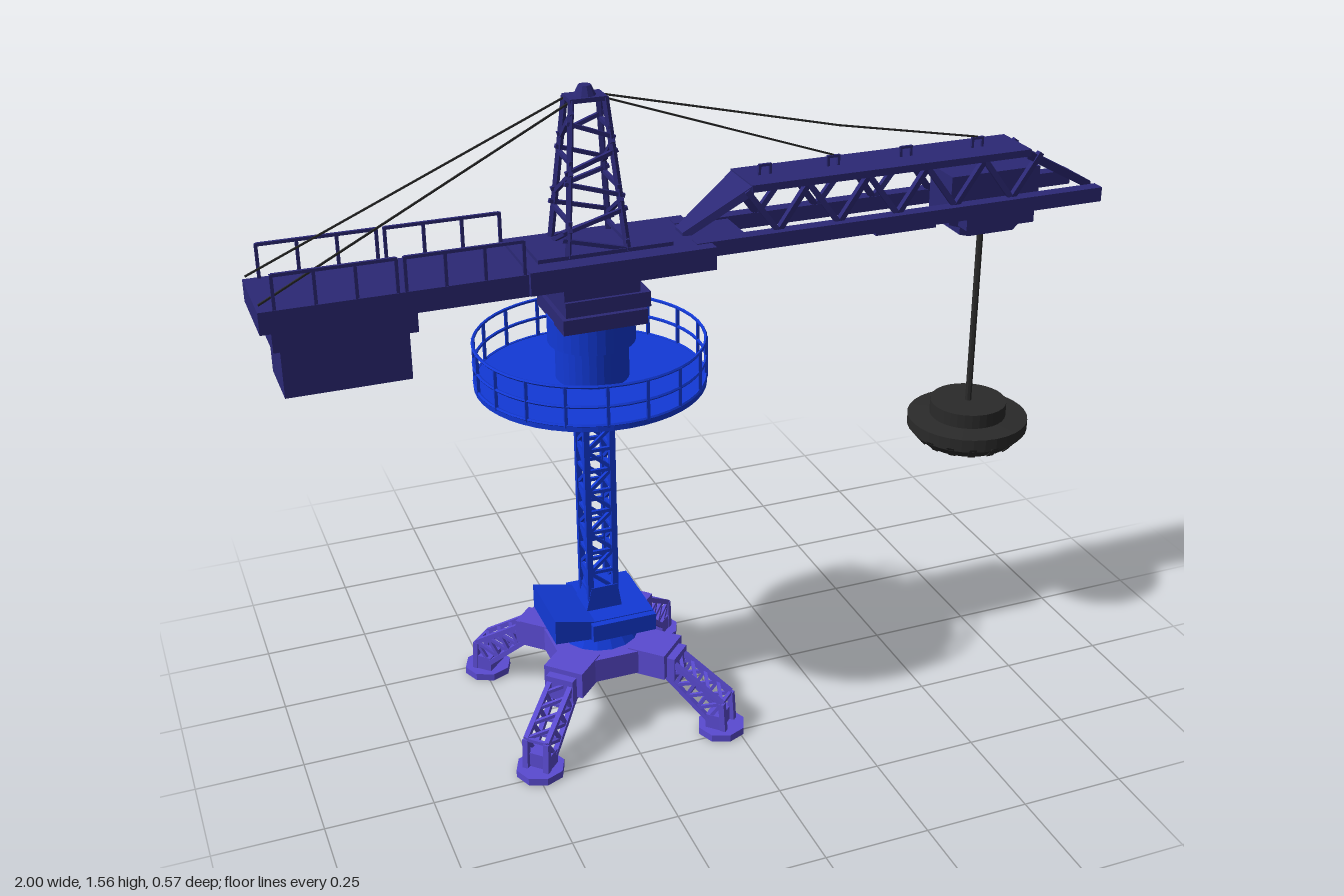
import * as THREE from 'three';

const mat = (color) => new THREE.MeshStandardMaterial({ color, flatShading: true });
const BLUE = mat(0x1239d6), PURPLE = mat(0x5a4bd1), NAVY = mat(0x2b2875), BLACK = mat(0x2a2a2a);
const V = (x, y, z) => new THREE.Vector3(x, y, z);
const MX = -0.262; // mast axis

function add(parent, name, geo, m) {
  const mesh = new THREE.Mesh(geo, m);
  mesh.name = name;
  parent.add(mesh);
  return mesh;
}
// box from its limits
function box(p, name, m, x0, x1, y0, y1, z0, z1) {
  const g = new THREE.BoxGeometry(x1 - x0, y1 - y0, z1 - z0);
  return add(p, name, g.translate((x0 + x1) / 2, (y0 + y1) / 2, (z0 + z1) / 2), m);
}
// square bar between two points
function bar(p, name, m, a, b, t, t2 = t) {
  const mesh = add(p, name, new THREE.BoxGeometry(t, t2, a.distanceTo(b)), m);
  mesh.position.copy(a).add(b).multiplyScalar(0.5);
  mesh.quaternion.setFromRotationMatrix(new THREE.Matrix4().lookAt(b, a, V(0, 1, 0.001)));
  return mesh;
}
function disc(p, name, m, x, y0, y1, r0, r1, n = 32) {
  return add(p, name, new THREE.CylinderGeometry(r1, r0, y1 - y0, n).translate(x, (y0 + y1) / 2, 0), m);
}
// side outline in x and y, extruded across z
function prism(p, name, m, pts, half) {
  const s = new THREE.Shape(pts.map(([x, y]) => new THREE.Vector2(x, y)));
  return add(p, name, new THREE.ExtrudeGeometry(s, { depth: 2 * half, bevelEnabled: false }).translate(0, 0, -half), m);
}
// sloping plate whose height and width change along x; ends are [x, bottom, top, halfWidth]
function slope(p, name, m, a, b) {
  const g = new THREE.BoxGeometry(1, 1, 1), pos = g.attributes.position;
  for (let i = 0; i < pos.count; i++) {
    const e = pos.getX(i) < 0 ? a : b;
    pos.setXYZ(i, e[0], pos.getY(i) < 0 ? e[1] : e[2], 2 * pos.getZ(i) * e[3]);
  }
  g.computeVertexNormals();
  return add(p, name, g, m);
}
function ring(p, name, m, x, y, r, t) {
  return add(p, name, new THREE.TorusGeometry(r, t, 5, 48).rotateX(Math.PI / 2).translate(x, y, 0), m);
}

function buildBase(root) {
  const base = new THREE.Group();
  base.name = 'base';
  base.position.x = MX;
  root.add(base);
  box(base, 'hub', PURPLE, -0.125, 0.125, 0.14, 0.2, -0.125, 0.125);
  for (let k = 0; k < 4; k++) {
    const leg = new THREE.Group();
    leg.name = 'leg';
    leg.rotation.y = Math.PI / 4 + k * Math.PI / 2;
    base.add(leg);
    box(leg, 'hubCorner', PURPLE, 0.1, 0.195, 0.137, 0.203, -0.05, 0.05);
    box(leg, 'legSocket', PURPLE, 0.18, 0.215, 0.13, 0.19, -0.035, 0.035);
    const top = (t) => [0.2 + 0.135 * t, 0.178 - 0.085 * t], low = (t) => [0.185 + 0.115 * t, 0.14 - 0.1 * t];
    for (const s of [-1, 1]) {
      const z = s * 0.027;
      bar(leg, 'legUpperChord', PURPLE, V(...top(0), z), V(...top(1), z), 0.012);
      bar(leg, 'legLowerChord', PURPLE, V(...low(0), z), V(...low(1), z), 0.012);
      bar(leg, 'legAnklePost', PURPLE, V(...top(1), z), V(0.34, 0.015, z), 0.014);
      for (let i = 0; i < 4; i++) {
        const a = i / 4, b = (i + 1) / 4;
        bar(leg, 'legBrace', PURPLE, V(...low(a), z), V(...top(b), z), 0.008);
        bar(leg, 'legStrut', PURPLE, V(...low(b), z), V(...top(b), z), 0.008);
      }
    }
    for (let i = 0; i <= 4; i++) {
      const t = i / 4, u = Math.min(1, t + 0.25);
      bar(leg, 'legRung', PURPLE, V(...top(t), -0.027), V(...top(u), 0.027), 0.008);
      bar(leg, 'legRung', PURPLE, V(...low(t), -0.027), V(...low(t), 0.027), 0.008);
    }
    box(leg, 'ankle', PURPLE, 0.295, 0.335, 0.015, 0.055, -0.032, 0.032);
    disc(leg, 'footPad', PURPLE, 0.322, 0, 0.018, 0.058, 0.058, 8);
  }
}

function buildMast(root) {
  const mast = new THREE.Group();
  mast.name = 'mast';
  mast.position.x = MX;
  root.add(mast);
  // slewing base
  disc(mast, 'slewRing', BLUE, 0, 0.198, 0.225, 0.095, 0.075, 16);
  box(mast, 'slewNeck', BLUE, -0.06, 0.06, 0.22, 0.245, -0.06, 0.06);
  prism(mast, 'slewDeck', BLUE, [[-0.138, 0.245], [-0.05, 0.238], [0.107, 0.238], [0.107, 0.285], [-0.04, 0.285], [-0.138, 0.308]], 0.09);
  box(mast, 'slewSideBox', BLUE, -0.05, 0.107, 0.24, 0.283, -0.107, 0.107);
  prism(mast, 'mastFoot', BLUE, [[-0.045, 0.28], [0.045, 0.28], [0.035, 0.345], [-0.03, 0.345]], 0.04);
  // lattice column
  const h = 0.031, y0 = 0.33, n = 10, dy = (0.87 - y0) / n;
  for (let k = 0; k < 4; k++) {
    const side = new THREE.Group();
    side.name = 'mastSide';
    side.rotation.y = k * Math.PI / 2;
    mast.add(side);
    box(side, 'mastPost', BLUE, h - 0.007, h + 0.007, 0.3, 0.88, h - 0.007, h + 0.007);
    for (let i = 0; i < n; i++) {
      const y = y0 + i * dy, s = i % 2 ? 1 : -1;
      bar(side, 'mastRung', BLUE, V(-h, y, h), V(h, y, h), 0.008);
      bar(side, 'mastBrace', BLUE, V(-s * h, y, h), V(s * h, y + dy, h), 0.008);
    }
  }
  // round walkway
  const plate = box(mast, 'platformBracket', BLUE, -0.09, 0.09, 0.86, 0.876, -0.09, 0.09);
  plate.rotation.y = Math.PI / 4;
  disc(mast, 'platform', BLUE, -0.005, 0.872, 0.886, 0.265, 0.265, 48);
  for (const y of [0.885, 0.93, 0.977]) ring(mast, 'platformRail', BLUE, -0.005, y, 0.262, 0.004);
  for (let i = 0; i < 18; i++) {
    const a = i * Math.PI / 9, x = 0.262 * Math.cos(a) - 0.005, z = 0.262 * Math.sin(a);
    bar(mast, 'platformRailPost', BLUE, V(x, 0.88, z), V(x, 0.978, z), 0.007);
  }
  // drum and slewing collar
  disc(mast, 'drum', BLUE, 0, 0.885, 0.98, 0.084, 0.084);
  disc(mast, 'drumCap', BLUE, 0, 0.975, 1.04, 0.1, 0.1);
  box(mast, 'collarLower', NAVY, -0.095, 0.1, 1.035, 1.07, -0.1, 0.1);
  box(mast, 'collarMiddle', NAVY, -0.085, 0.112, 1.07, 1.105, -0.088, 0.088);
  box(mast, 'collarUpper', NAVY, -0.085, 0.09, 1.105, 1.15, -0.08, 0.08);
}

function buildCounterJib(root) {
  const jib = new THREE.Group();
  jib.name = 'counterJib';
  root.add(jib);
  box(jib, 'counterDeck', NAVY, -1, -0.42, 1.14, 1.19, -0.097, 0.101);
  box(jib, 'centreDeck', NAVY, -0.43, -0.005, 1.145, 1.198, -0.107, 0.115);
  box(jib, 'deckCover', NAVY, -0.4, -0.09, 1.195, 1.207, -0.07, 0.07);
  box(jib, 'ballastHanger', NAVY, -0.975, -0.67, 1.09, 1.145, -0.085, 0.085);
  box(jib, 'ballast', NAVY, -0.96, -0.688, 0.98, 1.095, -0.075, 0.075);
  for (const z of [-0.092, 0.096]) {
    for (const x0 of [-0.965, -0.692]) {
      bar(jib, 'deckRail', NAVY, V(x0, 1.265, z), V(x0 + 0.255, 1.265, z), 0.007);
      for (let i = 0; i < 4; i++)
        bar(jib, 'deckRailPost', NAVY, V(x0 + i * 0.085, 1.18, z), V(x0 + i * 0.085, 1.267, z), 0.007);
    }
  }
  // tapering cable tower with slanted rungs
  const bx = 0.068, tx = 0.038, bz = 0.064, tz = 0.022;
  const corner = (sx, sz, t) => V(MX + sx * (bx + (tx - bx) * t), 1.2 + 0.335 * t, sz * (bz + (tz - bz) * t));
  for (const s of [-1, 1]) {
    for (const q of [-1, 1]) bar(jib, 'towerPost', NAVY, corner(s, q, 0), corner(s, q, 1), 0.011);
    [0.06, 0.22, 0.42, 0.6, 0.8].forEach((t, i) => {
      const d = (i % 2 ? 0.05 : -0.05) * s;
      for (const [a, b] of [[corner(-1, s, t - d), corner(1, s, t + d)], [corner(s, -1, t - d - 0.03), corner(s, 1, t + d + 0.06)]]) {
        const out = b.clone().sub(a).multiplyScalar(0.1);
        bar(jib, 'towerRung', NAVY, a.sub(out), b.add(out), 0.009);
      }
    });
  }
  box(jib, 'towerHead', NAVY, MX - 0.042, MX + 0.042, 1.528, 1.538, -0.028, 0.028);
  disc(jib, 'towerCap', NAVY, MX, 1.535, 1.56, 0.026, 0.014, 10);
}

function buildBoom(root) {
  const boom = new THREE.Group();
  boom.name = 'boom';
  root.add(boom);
  const pivot = add(boom, 'boomPivot', new THREE.CylinderGeometry(0.022, 0.022, 0.12, 16).rotateX(Math.PI / 2), NAVY);
  pivot.position.set(-0.022, 1.145, 0);
  box(boom, 'boomRoot', NAVY, -0.05, 0.09, 1.17, 1.195, -0.06, 0.06);
  box(boom, 'boomUnderBox', NAVY, 0.4, 0.555, 1.158, 1.175, 0.055, 0.085);
  box(boom, 'boomTopPlate', NAVY, 0.1, 0.81, 1.293, 1.31, -0.064, 0.064);
  slope(boom, 'boomRearSlope', NAVY, [-0.05, 1.185, 1.205, 0.022], [0.105, 1.288, 1.31, 0.062]);
  slope(boom, 'boomTipSlope', NAVY, [0.8, 1.288, 1.31, 0.064], [1, 1.178, 1.2, 0.036]);
  for (const s of [-1, 1]) {
    const z = s * 0.07;
    box(boom, 'boomRail', NAVY, -0.04, 1, 1.165, 1.2, z - 0.016, z + 0.016);
    for (let i = 0; i < 10; i++) {
      const x = 0.09 + i * 0.075, up = i % 2;
      const y = [1.195, 1.297], zz = [s * 0.062, s * 0.056];
      bar(boom, 'boomBrace', NAVY, V(x, y[1 - up], zz[1 - up]), V(x + 0.075, y[up], zz[up]), 0.013);
    }
  }
  // cable eyes on the top plate
  for (const x of [0.157, 0.327, 0.512, 0.7]) {
    for (const d of [-0.013, 0.013]) bar(boom, 'cableEyePost', NAVY, V(x + d, 1.305, 0), V(x + d, 1.333, 0), 0.006);
    bar(boom, 'cableEyeTop', NAVY, V(x - 0.016, 1.332, 0), V(x + 0.016, 1.332, 0), 0.006);
  }
  // trolley
  box(boom, 'trolleyBody', NAVY, 0.61, 0.845, 1.155, 1.262, -0.052, 0.052);
  prism(boom, 'trolleyCarriage', NAVY, [[0.615, 1.165], [0.615, 1.14], [0.645, 1.13], [0.645, 1.112], [0.67, 1.105], [0.79, 1.105],
    [0.815, 1.13], [0.84, 1.14], [0.84, 1.165]], 0.04);
  box(boom, 'trolleyAxleBox', NAVY, 0.64, 0.82, 1.135, 1.17, -0.08, 0.08);
}

function buildLoad(root) {
  const load = new THREE.Group();
  load.name = 'magnet';
  root.add(load);
  const x = 0.725;
  disc(load, 'hoistRope', BLACK, x, 0.64, 1.12, 0.008, 0.008, 8);
  const profile = [[0, 0.545], [0.115, 0.545], [0.142, 0.57], [0.142, 0.578], [0.15, 0.58], [0.15, 0.607], [0.095, 0.612], [0.095, 0.648], [0, 0.648]];
  add(load, 'magnetBody', new THREE.LatheGeometry(profile.map(([r, y]) => new THREE.Vector2(r, y)), 32).translate(x, 0, 0), BLACK);
  for (let i = 0; i < 16; i++) {
    const a = i * Math.PI / 8, c = Math.cos(a), s = Math.sin(a);
    bar(load, 'magnetRib', BLACK, V(x + 0.118 * c, 0.55, 0.118 * s), V(x + 0.144 * c, 0.582, 0.144 * s), 0.018, 0.01);
  }
}

function buildCables(root) {
  const cables = new THREE.Group();
  cables.name = 'stayCables';
  root.add(cables);
  const run = (...pts) => {
    for (let i = 1; i < pts.length; i++) bar(cables, 'stayCable', BLACK, pts[i - 1], pts[i], 0.004);
  };
  for (const s of [-1, 1]) run(V(MX - 0.035, 1.533, s * 0.02), V(-0.995, 1.2, s * 0.085));
  run(V(MX + 0.035, 1.533, 0.015), V(0.327, 1.335, 0));
  run(V(MX + 0.035, 1.533, -0.015), V(0.34, 1.402, -0.004), V(0.7, 1.335, 0));
}

export function createModel() {
  const root = new THREE.Group();
  root.name = 'towerCrane';
  [buildBase, buildMast, buildCounterJib, buildBoom, buildLoad, buildCables].forEach((build) => build(root));
  return root;
}
